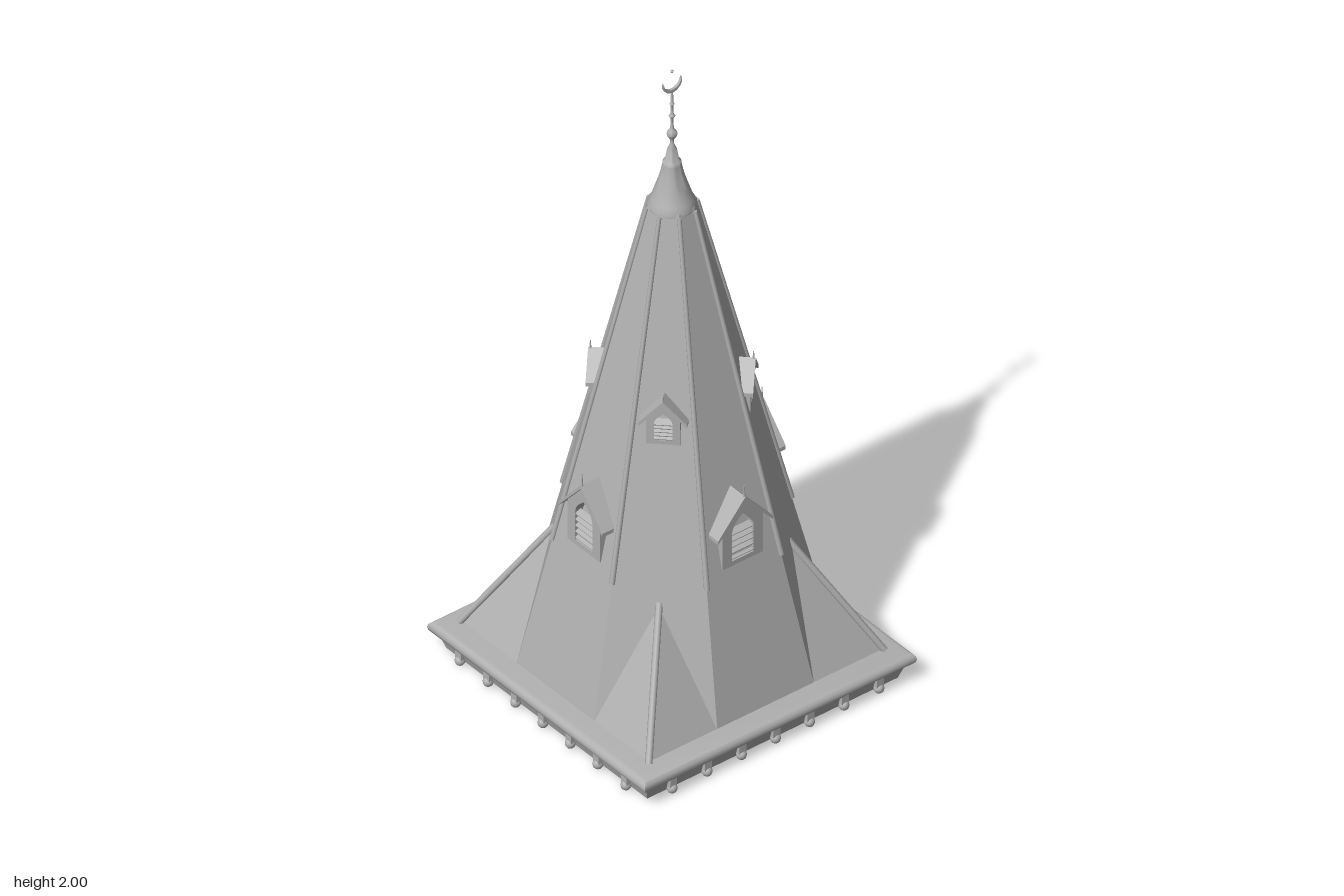
import * as THREE from 'three';
import { toCreasedNormals } from 'three/addons/utils/BufferGeometryUtils.js';

const slate = new THREE.MeshStandardMaterial({ color: 0xb0b0b0 });
slate.name = 'slate grey';

const V = (x, y, z) => new THREE.Vector3(x, y, z);
const SLOPE = 0.231, TIP = 1.832;
const apothem = (y) => (TIP - y) * SLOPE; // distance of a spire face from the axis
const circum = (y) => apothem(y) / Math.cos(Math.PI / 8);

function add(parent, name, geometry) {
  const mesh = new THREE.Mesh(geometry, slate);
  mesh.name = name;
  parent.add(mesh);
  return mesh;
}

// Round bar between two points
function bar(parent, name, a, b, r0, r1 = r0) {
  const d = b.clone().sub(a);
  const mesh = add(parent, name, new THREE.CylinderGeometry(r1, r0, d.length(), 8));
  mesh.position.copy(a).add(b).multiplyScalar(0.5);
  mesh.quaternion.setFromUnitVectors(V(0, 1, 0), d.normalize());
  return mesh;
}

function polygon(points) {
  return new THREE.Shape(points.map(([x, y]) => new THREE.Vector2(x, y)));
}

function extrude(shape, z0, z1) {
  const g = new THREE.ExtrudeGeometry(shape, { depth: z1 - z0, bevelEnabled: false, curveSegments: 6 });
  return g.translate(0, 0, z0);
}

// Gabled dormer facing +z, turned about the spire axis
function dormer(parent, name, angle, o) {
  const g = new THREE.Group();
  g.name = name;
  g.rotation.y = angle;
  parent.add(g);
  const t = 0.012, rise = (o.apex - o.eave) / o.roofHalf;

  // roof: folded pair of slabs
  add(g, 'dormerRoof', extrude(polygon([
    [-o.roofHalf, o.eave], [-o.roofHalf, o.eave - t], [0, o.apex - t],
    [o.roofHalf, o.eave - t], [o.roofHalf, o.eave], [0, o.apex],
  ]), o.back, o.front));

  // wall with a pointed-arch opening
  const side = o.apex - t - rise * o.wallHalf;
  const wall = polygon([[-o.wallHalf, o.base], [o.wallHalf, o.base], [o.wallHalf, side], [0, o.apex - t], [-o.wallHalf, side]]);
  const w = o.winHalf, hole = new THREE.Path();
  hole.moveTo(-w, o.sill);
  hole.lineTo(-w, o.spring);
  hole.quadraticCurveTo(-w, (o.spring + o.arch) / 2, 0, o.arch);
  hole.quadraticCurveTo(w, (o.spring + o.arch) / 2, w, o.spring);
  hole.lineTo(w, o.sill);
  wall.holes.push(hole);
  add(g, 'dormerWall', extrude(wall, o.back, o.wall));

  // tilted louvre slats
  for (let i = 0; i < 5; i++) {
    const slat = add(g, 'louvre', new THREE.BoxGeometry(w * 2, 0.004, 0.02));
    slat.position.set(0, o.sill + (i + 0.5) * (o.spring - o.sill) / 4.5, o.wall - 0.01);
    slat.rotation.x = 0.5;
  }

  // little spike on the ridge
  bar(g, 'dormerFinial', V(0, o.apex - 0.012, o.front - 0.006), V(0, o.spike, o.front - 0.006), 0.004, 0.001);
}

export function createModel() {
  const model = new THREE.Group();
  model.name = 'spire';

  // square cornice with a rounded nose and a recessed underside
  const profile = [[0, 0.075], [0.345, 0.075], [0.385, 0.01], [0.43, 0.01], [0.445, 0.055]];
  for (let i = 0; i <= 6; i++) {
    const a = -Math.PI / 2 + (i / 6) * Math.PI;
    profile.push([0.447 + 0.02 * Math.cos(a), 0.076 + 0.02 * Math.sin(a)]);
  }
  profile.push([0.39, 0.102]);
  const cornice = new THREE.LatheGeometry(
    profile.map(([h, y]) => new THREE.Vector2(h * Math.SQRT2, y)), 4, Math.PI / 4);
  add(model, 'cornice', toCreasedNormals(cornice, 0.6));

  // eight-sided spire
  const bottom = 0.098, top = 1.56;
  const body = new THREE.CylinderGeometry(circum(top), circum(bottom), top - bottom, 8, 1, false, Math.PI / 8);
  body.translate(0, (top + bottom) / 2, 0);
  add(model, 'spireBody', toCreasedNormals(body, 0.3));

  for (let i = 0; i < 4; i++) {
    const side = new THREE.Group();
    side.name = 'spireSide';
    side.rotation.y = i * Math.PI / 2;
    model.add(side);

    // corner broach: two sloping faces meeting on the diagonal
    const peak = [0.227, 0.44, 0.227], corner = [0.401, bottom, 0.401];
    const broach = new THREE.BufferGeometry();
    broach.setAttribute('position', new THREE.Float32BufferAttribute([
      ...[0.166, bottom, 0.401], ...corner, ...peak,
      ...corner, ...[0.401, bottom, 0.166], ...peak,
    ], 3));
    broach.computeVertexNormals();
    add(side, 'cornerBroach', broach);
    bar(side, 'broachRidge', V(0.405, 0.1, 0.405), V(0.222, 0.447, 0.222), 0.01);

    // ridge rolls on the two edges of this face
    for (const s of [-1, 1]) {
      const at = (y) => V(s * apothem(y) * Math.tan(Math.PI / 8), y, apothem(y));
      bar(side, 'ridgeRoll', at(0.495), at(1.55), 0.008, 0.006);
    }

    // corbel knobs under the cornice
    for (const x of [-0.355, -0.235, -0.117, 0, 0.117, 0.235, 0.355]) {
      const block = add(side, 'corbel', new THREE.BoxGeometry(0.024, 0.03, 0.03));
      block.position.set(x, 0.04, 0.435);
      const knob = add(side, 'corbelKnob', new THREE.SphereGeometry(0.015, 10, 8));
      knob.position.set(x, 0.018, 0.443);
    }

    const a = i * Math.PI / 2;
    dormer(model, 'lowerDormer', a, {
      roofHalf: 0.094, wallHalf: 0.07, base: 0.53, eave: 0.645, apex: 0.752, spike: 0.79,
      back: 0.225, wall: 0.303, front: 0.315, winHalf: 0.037, sill: 0.545, spring: 0.635, arch: 0.69,
    });
    dormer(model, 'upperDormer', a + Math.PI / 4, {
      roofHalf: 0.066, wallHalf: 0.046, base: 0.905, eave: 0.98, apex: 1.052, spike: 1.075,
      back: 0.15, wall: 0.217, front: 0.226, winHalf: 0.025, sill: 0.918, spring: 0.972, arch: 1.005,
    });
  }

  // turned cap, rod and beads
  const cap = new THREE.LatheGeometry([
    [0, 1.55], [0.055, 1.545], [0.067, 1.548], [0.067, 1.558], [0.058, 1.575], [0.048, 1.605],
    [0.038, 1.635], [0.031, 1.66], [0.026, 1.685], [0.025, 1.695], [0.019, 1.7], [0.013, 1.735],
    [0.006, 1.75], [0.005, 1.768], [0.012, 1.776], [0.015, 1.785], [0.012, 1.794], [0.005, 1.802],
    [0.004, 1.836], [0.009, 1.845], [0.004, 1.854], [0.004, 1.88], [0.007, 1.885], [0.004, 1.89], [0.003, 1.93],
  ].map(([r, y]) => new THREE.Vector2(r, y)), 24);
  add(model, 'capAndRod', toCreasedNormals(cap, 0.9));

  // crescent opening upward, with a tiny bead above
  const moon = new THREE.Shape();
  moon.absarc(0, 1.957, 0.032, Math.PI * 0.95, Math.PI * 2.05, false);
  moon.absarc(0, 1.965, 0.0305, Math.PI * 2, Math.PI, true);
  const crescent = new THREE.ExtrudeGeometry(moon, { depth: 0.008, bevelEnabled: false, curveSegments: 20 });
  add(model, 'crescent', crescent.translate(0, 0, -0.004));
  add(model, 'topBead', new THREE.OctahedronGeometry(0.006)).position.y = 1.994;

  return model;
}
